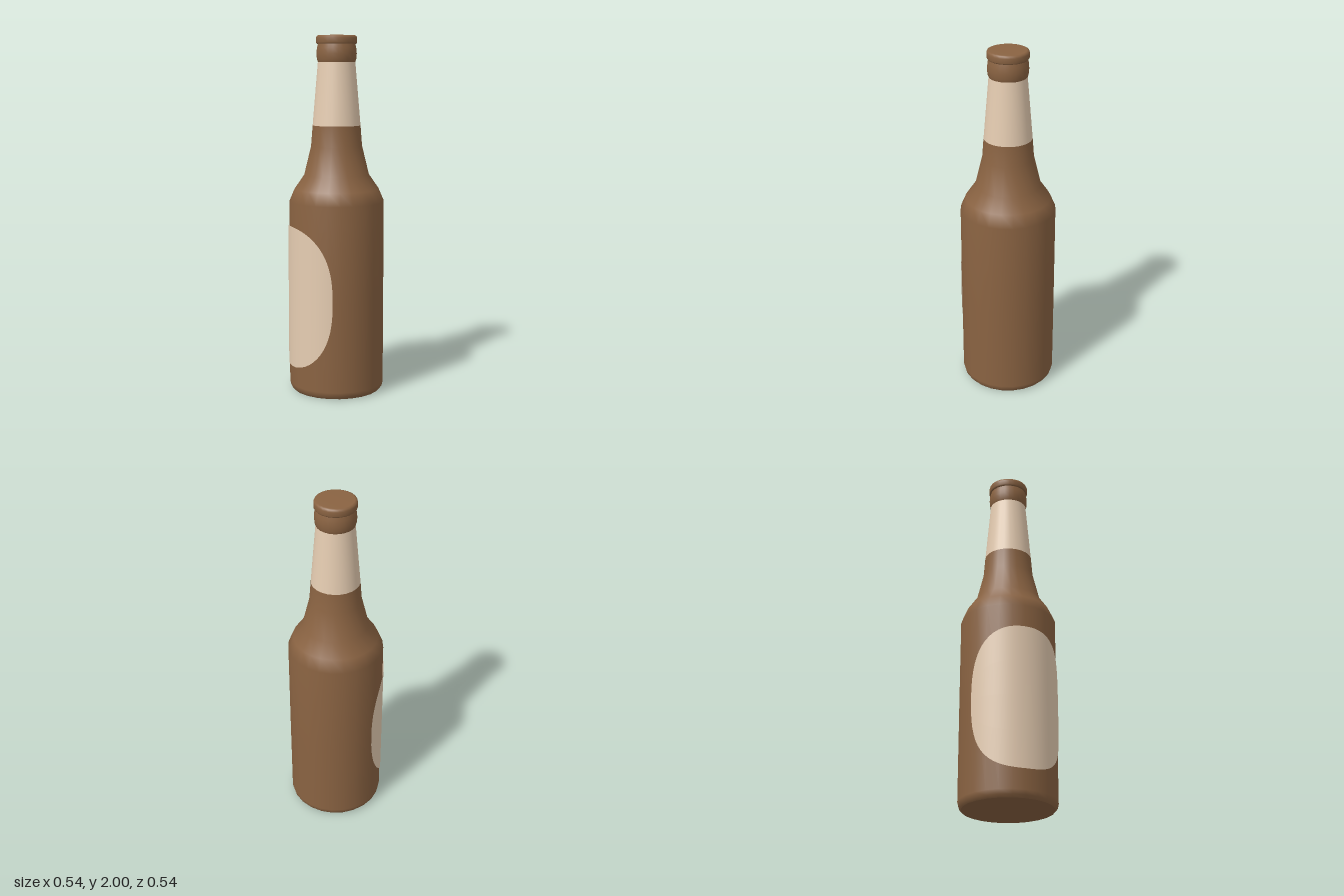
import * as THREE from 'three';

const SIDES = 24;

export function createModel() {
  const glass = new THREE.MeshStandardMaterial({ name: 'brownGlass', color: 0x8a6342 });
  const paper = new THREE.MeshStandardMaterial({ name: 'creamPaper', color: 0xe6cdb2, side: THREE.DoubleSide });
  const group = new THREE.Group();
  group.name = 'bottle';

  const add = (name, geometry, material) => {
    const mesh = new THREE.Mesh(geometry, material);
    mesh.name = name;
    group.add(mesh);
  };
  // Turned part from [radius, height] pairs, bottom to top
  const turned = (name, profile, material) =>
    add(name, new THREE.LatheGeometry(profile.map(([r, y]) => new THREE.Vector2(r, y)), SIDES), material);

  // Glass: underside, body with shoulder, and lip
  turned('base', [[0, 0.008], [0.2, 0.004], [0.25, 0]], glass);
  turned('body', [
    [0.25, 0], [0.262, 0.015], [0.268, 0.04], [0.268, 0.55], [0.267, 1.08], [0.237, 1.15],
    [0.182, 1.23], [0.143, 1.39], [0.134, 1.505],
  ], glass);
  turned('lip', [[0.104, 1.855], [0.109, 1.87], [0.112, 1.9], [0.109, 1.93], [0.103, 1.955]], glass);

  // Cap
  turned('cap', [
    [0.09, 1.953], [0.109, 1.953], [0.114, 1.96], [0.114, 1.985], [0.11, 1.996], [0.1, 2], [0, 2],
  ], glass);

  // Paper band around the neck
  turned('neckLabel', [[0.134, 1.505], [0.104, 1.855]], paper);

  // Rounded label wrapped around the model's -x side
  const label = new THREE.PlaneGeometry(2, 2, 32, 4);
  const pos = label.attributes.position;
  const normal = label.attributes.normal;
  for (let i = 0; i < pos.count; i++) {
    const u = Math.sin(pos.getX(i) * Math.PI / 2);
    const half = 0.4 * Math.pow(Math.max(0, 1 - Math.pow(Math.abs(u), 2.5)), 0.4);
    const angle = u * THREE.MathUtils.degToRad(66);
    const c = Math.cos(angle), s = Math.sin(angle);
    pos.setXYZ(i, -0.273 * c, 0.55 + pos.getY(i) * half, 0.273 * s);
    normal.setXYZ(i, -c, 0, s);
  }
  add('bodyLabel', label, paper);

  return group;
}
